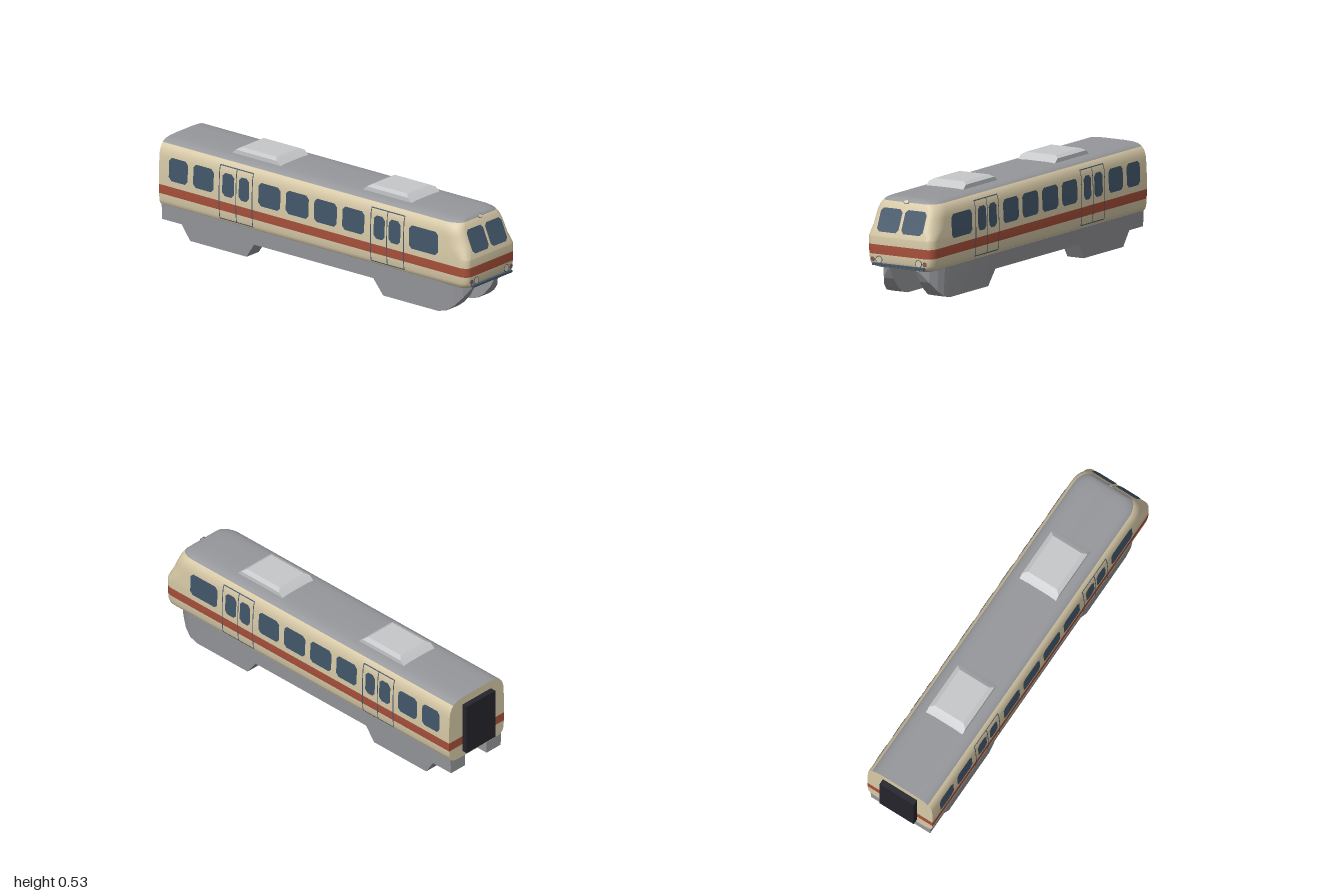
import * as THREE from 'three';
import { toCreasedNormals } from 'three/addons/utils/BufferGeometryUtils.js';

const mat = (name, color, side = THREE.FrontSide) => {
  const m = new THREE.MeshStandardMaterial({ color, side });
  m.name = name;
  return m;
};

// Body profile: height, half width, front z
const PROFILE = [
  [0.147, 0.12, 0.93], [0.15, 0.155, 0.955], [0.157, 0.172, 0.972], [0.168, 0.183, 0.983],
  [0.185, 0.188, 0.988], [0.22, 0.191, 0.99], [0.267, 0.192, 0.99], [0.305, 0.192, 0.99],
  [0.312, 0.192, 0.989], [0.32, 0.192, 0.987], [0.36, 0.191, 0.97], [0.41, 0.188, 0.948],
  [0.43, 0.1865, 0.939], [0.45, 0.181, 0.931], [0.465, 0.174, 0.924], [0.478, 0.163, 0.917],
  [0.487, 0.15, 0.909], [0.493, 0.134, 0.9], [0.497, 0.108, 0.886], [0.499, 0.06, 0.85],
];
const BACK = -0.97;

// Interpolates profile column k at height y
function at(y, k) {
  let i = 0;
  while (i < PROFILE.length - 2 && PROFILE[i + 1][0] < y) i++;
  const a = PROFILE[i], b = PROFILE[i + 1];
  return a[k] + (b[k] - a[k]) * THREE.MathUtils.clamp((y - a[0]) / (b[0] - a[0]), 0, 1);
}

// Horizontal slices stacked upward; material by height band
function bodyGeometry() {
  const pos = [], faces = [[], [], []], CORNER = 7;
  for (const [y, w, zf] of PROFILE) {
    const t = THREE.MathUtils.smoothstep(y, 0.3, 0.36);
    const rx = Math.min(w * 0.6, 0.035 + 0.02 * t), rz = 0.05 + 0.04 * t;
    const half = [[w, BACK]];
    for (let i = 0; i <= CORNER; i++) {
      const a = (i / CORNER) * Math.PI / 2;
      half.push([w - rx + rx * Math.cos(a), zf - rz + rz * Math.sin(a)]);
    }
    for (const [x, z] of half) pos.push(x, y, z);
    for (const [x, z] of half.reverse()) pos.push(-x, y, z);
  }
  const n = 2 * (CORNER + 2), rows = PROFILE.length;
  for (let r = 0; r < rows - 1; r++) {
    const y = PROFILE[r][0];
    const band = y < 0.156 || y > 0.477 ? 2 : y > 0.219 && y < 0.266 ? 1 : 0;
    for (let j = 0; j < n; j++) {
      const k = (j + 1) % n, a = r * n + j, b = r * n + k;
      const c = j === n - 1 && band === 2 ? 0 : band;
      faces[c].push(a, a + n, b, b, a + n, b + n);
    }
  }
  // Floor and roof caps
  const bottom = pos.length / 3, top = bottom + 1, last = (rows - 1) * n;
  pos.push(0, PROFILE[0][0], 0, 0, PROFILE[rows - 1][0], 0);
  for (let j = 0; j < n; j++) {
    const k = (j + 1) % n;
    faces[2].push(bottom, j, k, top, last + k, last + j);
  }
  const g = new THREE.BufferGeometry();
  g.setAttribute('position', new THREE.Float32BufferAttribute(pos, 3));
  g.setIndex(faces.flat());
  let start = 0;
  faces.forEach((f, i) => { g.addGroup(start, f.length, i); start += f.length; });
  return toCreasedNormals(g, 0.6);
}

// Joins four-cornered sections into a closed, flat-faced solid
function loft(sections) {
  const idx = [];
  for (let s = 0; s < sections.length - 1; s++) {
    for (let j = 0; j < 4; j++) {
      const a = s * 4 + j, b = s * 4 + (j + 1) % 4;
      idx.push(a, b, a + 4, b, b + 4, a + 4);
    }
  }
  const e = (sections.length - 1) * 4;
  idx.push(0, 2, 1, 0, 3, 2, e, e + 1, e + 2, e, e + 2, e + 3);
  const g = new THREE.BufferGeometry();
  g.setAttribute('position', new THREE.Float32BufferAttribute(sections.flat(2), 3));
  g.setIndex(idx);
  return toCreasedNormals(g, 0.2);
}

// Rectangle with cut corners
function paneGeometry(w, h, c) {
  const x = w / 2, y = h / 2;
  return new THREE.ShapeGeometry(new THREE.Shape([
    [-x + c, -y], [x - c, -y], [x, -y + c], [x, y - c],
    [x - c, y], [-x + c, y], [-x, y - c], [-x, -y + c],
  ].map(([u, v]) => new THREE.Vector2(u, v))));
}

// Lays a flat shape onto the body side (s = 1 left, -1 right)
function drapeSide(g, s, z, y, offset) {
  const p = g.attributes.position;
  for (let i = 0; i < p.count; i++) {
    const h = y + p.getY(i);
    p.setXYZ(i, s * (at(h, 1) + offset), h, z - s * p.getX(i));
  }
  g.computeVertexNormals();
  return g;
}

// Lays a flat shape onto the sloping front
function drapeFront(g, x, y, offset) {
  const p = g.attributes.position;
  for (let i = 0; i < p.count; i++) {
    const h = y + p.getY(i);
    p.setXYZ(i, x + p.getX(i), h, at(h, 2) + offset);
  }
  g.computeVertexNormals();
  return g;
}

export function createModel() {
  const model = new THREE.Group();
  model.name = 'railcar';
  const cream = mat('cream', 0xd8caa8), red = mat('red', 0xa8503a);
  const grey = mat('grey', 0x96979b), light = mat('lightGrey', 0xc6c7c9);
  const blue = mat('slateBlue', 0x42566a, THREE.DoubleSide), dark = mat('black', 0x24242b);
  const add = (name, geo, m, x = 0, y = 0, z = 0) => {
    const mesh = new THREE.Mesh(geo, m);
    mesh.name = name;
    mesh.position.set(x, y, z);
    model.add(mesh);
    return mesh;
  };

  add('body', bodyGeometry(), [cream, red, grey]);

  // Skirts: z, bottom height, outer x
  const stations = [
    [-0.965, 0.08, 0.177], [-0.84, 0.08, 0.177], [-0.79, 0.004, 0.177], [-0.43, 0.004, 0.177],
    [-0.38, 0.08, 0.177], [0.38, 0.08, 0.177], [0.44, 0.002, 0.177], [0.79, 0.002, 0.177],
    [0.84, 0.015, 0.173], [0.88, 0.045, 0.16], [0.92, 0.09, 0.135], [0.95, 0.145, 0.09],
  ];
  for (const s of [1, -1]) {
    add(s > 0 ? 'leftSkirt' : 'rightSkirt', loft(stations.map(([z, y, x]) => {
      const outer = x - 0.05 * (0.16 - y);
      const ring = [[0.075, y, z], [outer, y, z], [x, 0.16, z], [0.075, 0.16, z]];
      return s > 0 ? ring : ring.map(([a, b, c]) => [-a, b, c]).reverse();
    })), grey);
  }

  // Roof units and underfloor blocks
  for (const z of [0.415, -0.42]) {
    add('roofUnit', loft([[0.49, 0.107, 0.163], [0.518, 0.107, 0.13], [0.53, 0.085, 0.112]]
      .map(([y, x, d]) => [[-x, y, d], [x, y, d], [x, y, -d], [-x, y, -d]])), light, 0, 0, z);
  }
  for (const z of [0.61, -0.61]) {
    add('underfloorBlock', new THREE.BoxGeometry(0.086, 0.02, 0.16), dark, 0, 0.14, z);
  }

  // Rear gangway and front bumper
  add('gangway', new THREE.BoxGeometry(0.2, 0.275, 0.04), dark, 0, 0.3175, -0.98);
  add('bumper', new THREE.BoxGeometry(0.3, 0.011, 0.03), blue, 0, 0.17, 0.985);

  // Side windows and doors
  const windows = [
    [0.81, 0.625], [0.34, 0.2], [0.165, 0.02], [-0.015, -0.16], [-0.195, -0.335],
    [-0.62, -0.75], [-0.785, -0.905], [0.57, 0.495], [0.47, 0.4], [-0.395, -0.46], [-0.49, -0.565],
  ];
  for (const s of [1, -1]) {
    for (const [a, b] of windows) {
      add('sideWindow', drapeSide(paneGeometry(a - b, 0.12, 0.017), s, (a + b) / 2, 0.36, 0.003), blue);
    }
    for (const [a, mid, b] of [[0.59, 0.483, 0.38], [-0.375, -0.478, -0.585]]) {
      for (const z of [a, mid, b]) {
        add('doorSeam', drapeSide(new THREE.PlaneGeometry(0.005, 0.28, 1, 20), s, z, 0.315, 0.002), blue);
      }
      for (const y of [0.177, 0.453]) {
        add('doorEdge', drapeSide(new THREE.PlaneGeometry(a - b, 0.005), s, (a + b) / 2, y, 0.002), blue);
      }
    }
  }

  // Windscreens and lamps
  const disc = (r) => new THREE.CylinderGeometry(r, r, 0.006, 20).rotateX(Math.PI / 2);
  for (const s of [1, -1]) {
    add('windscreen', drapeFront(paneGeometry(0.125, 0.113, 0.015), s * 0.0705, 0.3885, 0.004), blue);
    add('headlampRim', new THREE.TorusGeometry(0.0175, 0.002, 6, 24), blue, s * 0.115, 0.193, 0.99);
    add('headlamp', disc(0.017), cream, s * 0.115, 0.193, 0.988);
    add('tailLampRim', new THREE.TorusGeometry(0.01, 0.0018, 6, 20), blue, s * 0.151, 0.193, 0.99);
    add('tailLamp', disc(0.01), red, s * 0.151, 0.193, 0.988);
  }
  const rim = add('topLampRim', new THREE.TorusGeometry(0.014, 0.002, 6, 24), blue, 0, 0.48, 0.919);
  const lens = add('topLamp', disc(0.0135), cream, 0, 0.48, 0.918);
  for (const m of [rim, lens]) {
    m.rotation.x = -0.6;
    m.scale.y = 0.7;
  }
  return model;
}
